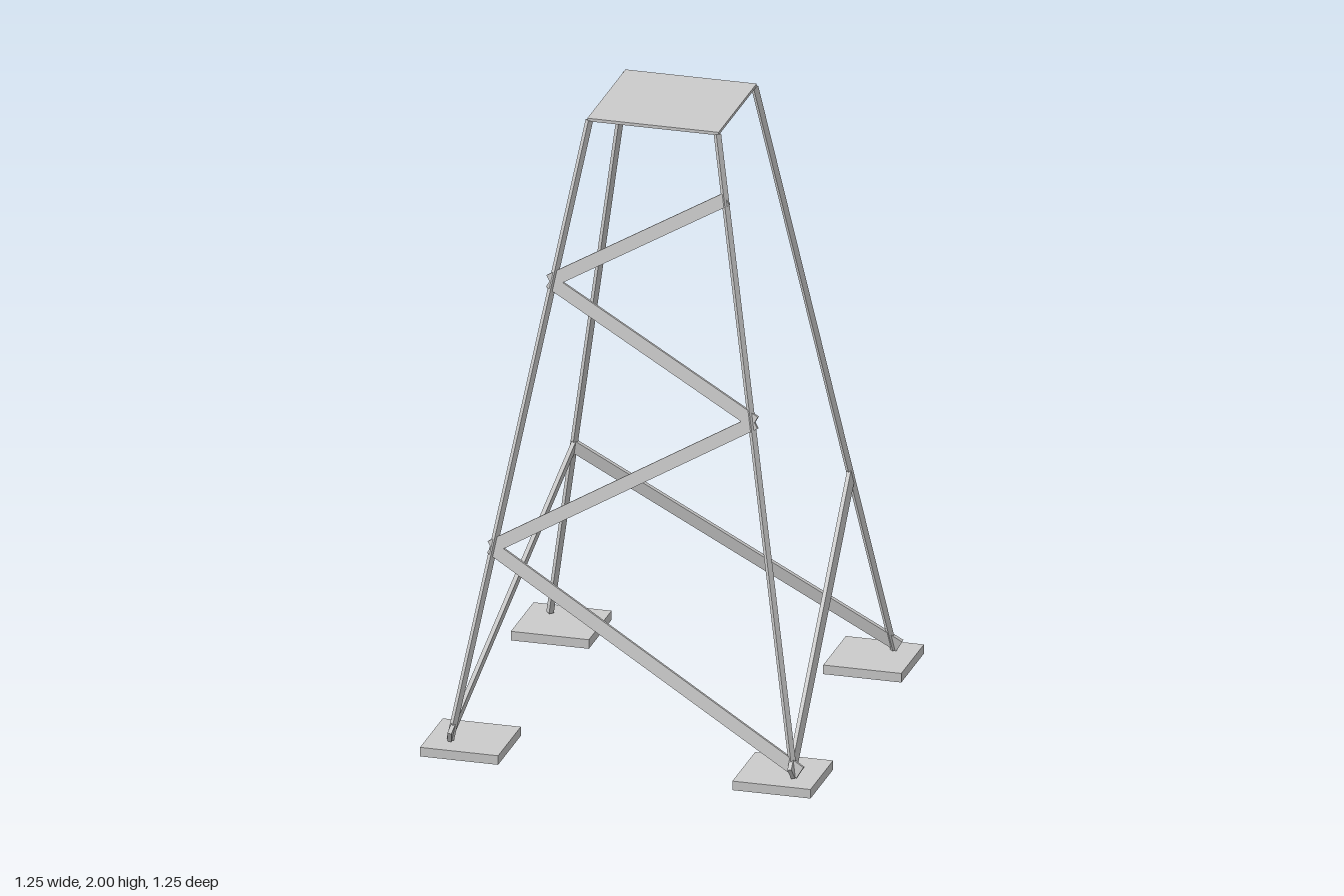
import * as THREE from 'three';

const BASE = 0.55, TOP = 0.205, Y0 = 0.035, Y1 = 1.992;
// distance of a leg's centreline from the axis at height y
const spread = (y) => BASE + (TOP - BASE) * (y - Y0) / (Y1 - Y0);

export function createModel() {
  const group = new THREE.Group();
  const material = new THREE.MeshStandardMaterial({ color: 0xcccccc, flatShading: true });

  function box(name, w, h, d, x, y, z) {
    const mesh = new THREE.Mesh(new THREE.BoxGeometry(w, h, d), material);
    mesh.name = name;
    mesh.position.set(x, y, z);
    group.add(mesh);
    return mesh;
  }

  // straight bar from a to b, its thin side turned towards the given outward direction
  function bar(name, a, b, outward, width, thickness) {
    const along = b.clone().sub(a);
    const length = along.length();
    along.normalize();
    const across = along.clone().cross(outward).normalize();
    const normal = across.clone().cross(along);
    const mid = a.clone().add(b).multiplyScalar(0.5);
    const mesh = box(name, width, length, thickness, mid.x, mid.y, mid.z);
    mesh.quaternion.setFromRotationMatrix(new THREE.Matrix4().makeBasis(across, along, normal));
  }

  // four splayed legs on square foot pads
  for (const sx of [-1, 1]) for (const sz of [-1, 1]) {
    box('footPad', 0.25, 0.03, 0.25, sx * 0.5, 0.015, sz * 0.5);
    bar('leg', new THREE.Vector3(sx * BASE, Y0, sz * BASE),
      new THREE.Vector3(sx * TOP, Y1, sz * TOP),
      new THREE.Vector3(sx, 0, sz), 0.017, 0.017);
  }

  // thin top plate
  box('topPlate', 0.42, 0.01, 0.42, 0, 1.995, 0);

  // flat brace lying in one sloping face; turn rotates the front face about y
  const up = new THREE.Vector3(0, 1, 0);
  const slope = (BASE - TOP) / (Y1 - Y0);
  function brace(name, turn, u0, y0, u1, y1) {
    const place = (u, y) => new THREE.Vector3(u, y, spread(y)).applyAxisAngle(up, turn);
    const outward = new THREE.Vector3(0, slope, 1).applyAxisAngle(up, turn);
    bar(name, place(u0, y0), place(u1, y1), outward, 0.042, 0.013);
  }

  // zigzag up the front face
  const zigzag = [[0.57, 0.05], [-0.45, 0.643], [0.37, 1.115], [-0.305, 1.483], [0.245, 1.795]];
  for (let i = 0; i < zigzag.length - 1; i++) {
    brace('frontBrace', 0, ...zigzag[i], ...zigzag[i + 1]);
  }

  // single low diagonals on the other three faces
  brace('leftBrace', Math.PI / 2, -0.57, 0.05, 0.445, 0.64);
  brace('rightBrace', -Math.PI / 2, 0.57, 0.05, -0.445, 0.64);
  brace('backBrace', Math.PI, -0.57, 0.05, 0.445, 0.64);

  return group;
}
